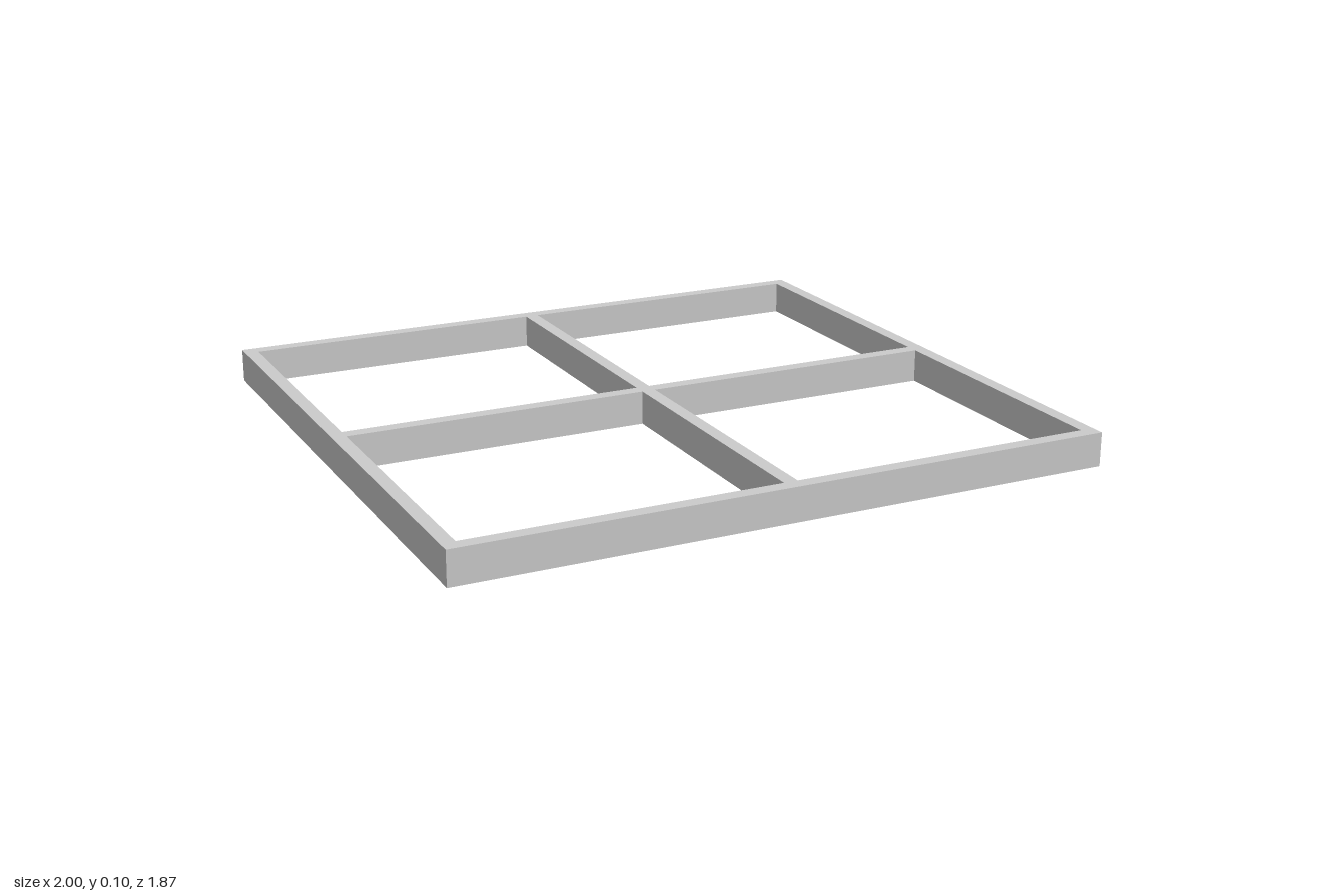
import * as THREE from 'three';

const HALF_X = 1, HALF_Z = 0.933, HEIGHT = 0.103, BAR = 0.042;

// Trace a rectangle on a Shape or Path
function rect(path, x0, y0, x1, y1) {
  path.moveTo(x0, y0);
  path.lineTo(x1, y0);
  path.lineTo(x1, y1);
  path.lineTo(x0, y1);
  path.closePath();
  return path;
}

export function createModel() {
  const group = new THREE.Group();
  group.name = 'windowFrame';

  // Outer outline with four pane openings, leaving border and cross bars
  const outline = rect(new THREE.Shape(), -HALF_X, -HALF_Z, HALF_X, HALF_Z);
  const inner = BAR / 2, outerX = HALF_X - BAR, outerZ = HALF_Z - BAR;
  for (const sx of [-1, 1]) {
    for (const sz of [-1, 1]) {
      outline.holes.push(rect(new THREE.Path(), sx * inner, sz * inner, sx * outerX, sz * outerZ));
    }
  }

  // Extrude upwards so the frame lies flat on the ground
  const geometry = new THREE.ExtrudeGeometry(outline, { depth: HEIGHT, bevelEnabled: false });
  geometry.rotateX(-Math.PI / 2);

  const frame = new THREE.Mesh(geometry, new THREE.MeshStandardMaterial({ color: 0xcccccc }));
  frame.name = 'frameWithCrossBars';
  group.add(frame);
  return group;
}
